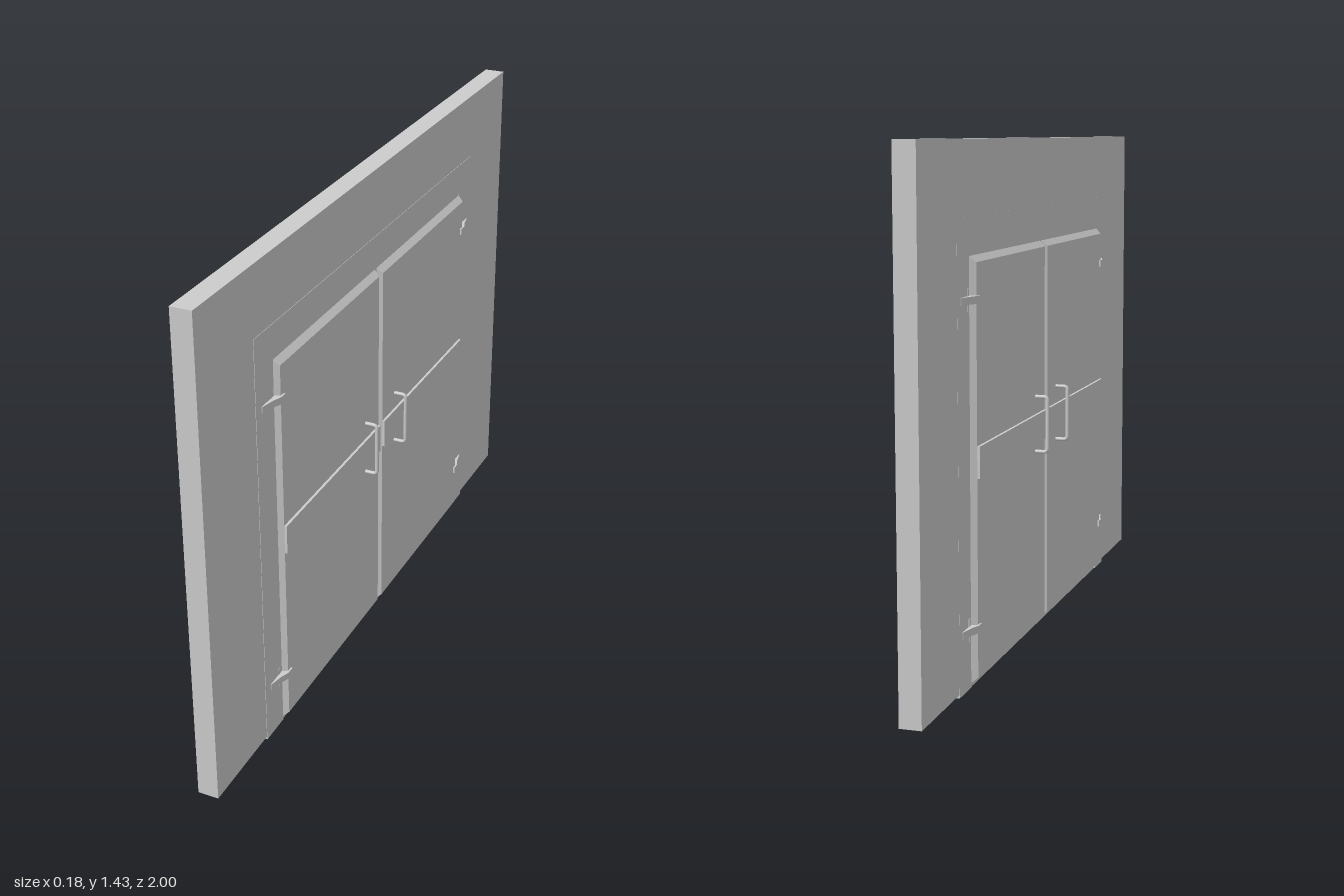
import * as THREE from 'three';

const material = new THREE.MeshStandardMaterial({ color: 0xcccccc, flatShading: true });
const smooth = new THREE.MeshStandardMaterial({ color: 0xcccccc });

function add(parent, name, geometry, mat = material) {
  const mesh = new THREE.Mesh(geometry, mat);
  mesh.name = name;
  parent.add(mesh);
  return mesh;
}

// Box given by its min and max along x, y and z
function block(x0, x1, y0, y1, z0, z1) {
  return new THREE.BoxGeometry(x1 - x0, y1 - y0, z1 - z0)
    .translate((x0 + x1) / 2, (y0 + y1) / 2, (z0 + z1) / 2);
}

// Door leaf: a slab whose outer (+x) face is inset to bevel all four edges
function leafGeometry(z0, z1) {
  const g = block(0.02, 0.047, 0.004, 1.145, z0, z1);
  const p = g.attributes.position;
  const mid = (z0 + z1) / 2;
  for (let i = 0; i < p.count; i++) {
    if (p.getX(i) < 0.04) continue;
    p.setY(i, p.getY(i) > 0.5 ? 1.12 : 0.026);
    p.setZ(i, p.getZ(i) > mid ? z1 - 0.013 : z0 + 0.013);
  }
  g.computeVertexNormals();
  return g.toNonIndexed();
}

// Pull handle: a rounded U path standing off the door
function handleGeometry(z) {
  const v = (x, y) => new THREE.Vector3(x, y, z);
  const [inX, outX, lo, hi, r] = [0.04, 0.083, 0.536, 0.696, 0.012];
  const path = new THREE.CurvePath();
  path.add(new THREE.LineCurve3(v(inX, lo), v(outX - r, lo)));
  path.add(new THREE.QuadraticBezierCurve3(v(outX - r, lo), v(outX, lo), v(outX, lo + r)));
  path.add(new THREE.LineCurve3(v(outX, lo + r), v(outX, hi - r)));
  path.add(new THREE.QuadraticBezierCurve3(v(outX, hi - r), v(outX, hi), v(outX - r, hi)));
  path.add(new THREE.LineCurve3(v(outX - r, hi), v(inX, hi)));
  return new THREE.TubeGeometry(path, 90, 0.0055, 10);
}

// Hinge strap: bent band from the door face down to the jamb, drawn in x and z
function hingeGeometry(y, s) {
  const shape = new THREE.Shape([
    [0.03, 0.605], [0.052, 0.605], [0.052, 0.63], [0.042, 0.655],
    [0.034, 0.695], [0.03, 0.70], [0.03, 0.68],
  ].map(([x, z]) => new THREE.Vector2(x, -z * s)));
  return new THREE.ExtrudeGeometry(shape, { depth: 0.02, bevelEnabled: false })
    .rotateX(-Math.PI / 2).translate(0, y - 0.01, 0);
}

// Everything mounted on one face of the wall
function doorFace() {
  const face = new THREE.Group();
  for (const s of [1, -1]) {
    const span = (a, b) => (s > 0 ? [a, b] : [-b, -a]);
    const side = s > 0 ? 'left' : 'right';
    add(face, side + 'DoorLeaf', leafGeometry(...span(0.001, 0.635)));
    add(face, side + 'PushPlate', block(0.04, 0.0545, 0.56, 0.645, ...span(0.014, 0.622)));
    add(face, side + 'Handle', handleGeometry(0.104 * s), smooth);
    for (const y of [0.16, 1.025]) {
      add(face, side + 'Hinge', hingeGeometry(y, s));
      add(face, side + 'HingePlate', block(0.02, 0.032, y - 0.03, y + 0.03, ...span(0.638, 0.648)));
    }
  }
  return face;
}

export function createModel() {
  const model = new THREE.Group();
  model.name = 'doubleDoorInWall';

  add(model, 'wall', block(-0.032, 0.028, 0.01, 1.43, -1, 1));

  // Door frame, barely proud of the wall
  const frame = new THREE.Group();
  frame.name = 'doorFrame';
  model.add(frame);
  add(frame, 'header', block(-0.0322, 0.0292, 1.145, 1.235, -0.725, 0.722));
  add(frame, 'leftJamb', block(-0.0322, 0.0292, 0, 1.145, 0.625, 0.722));
  add(frame, 'rightJamb', block(-0.0322, 0.0292, 0, 1.145, -0.725, -0.628));
  add(frame, 'threshold', block(-0.03, 0.027, 0, 0.02, -0.628, 0.625));

  // The same door set on both faces, the second turned half round
  ['nearDoors', 'farDoors'].forEach((name, i) => {
    const face = doorFace();
    face.name = name;
    face.rotation.y = i * Math.PI;
    face.position.set(-0.002, 0, -0.004);
    model.add(face);
  });
  return model;
}
